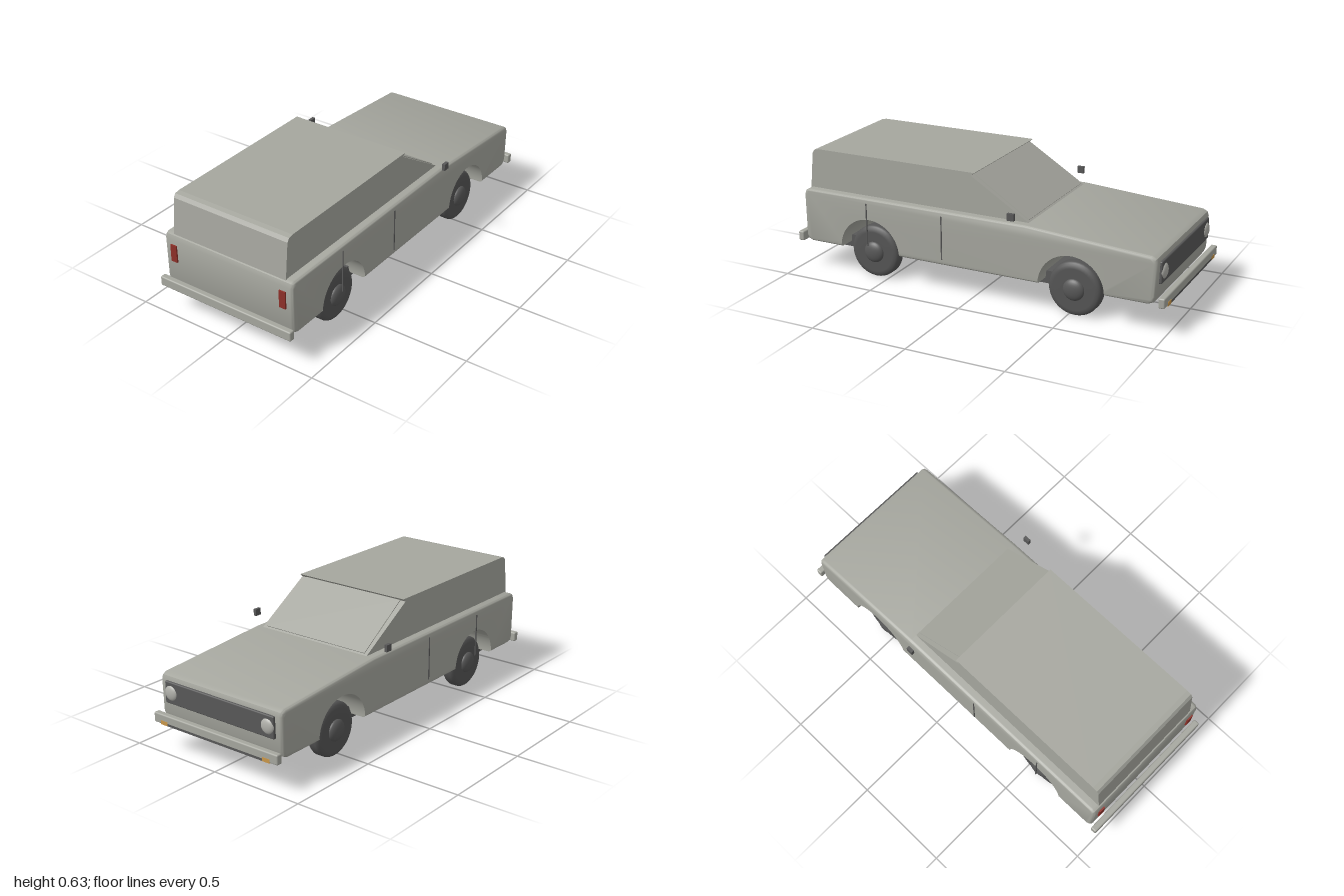
import * as THREE from 'three';
import { toCreasedNormals } from 'three/addons/utils/BufferGeometryUtils.js';
import { RoundedBoxGeometry } from 'three/addons/geometries/RoundedBoxGeometry.js';

const mat = (name, color) => {
  const m = new THREE.MeshStandardMaterial({ color });
  m.name = name;
  return m;
};

export function createModel() {
  const car = new THREE.Group();
  car.name = 'stationWagon';
  const paint = mat('greyPaint', 0xa5a69e);
  const dark = mat('darkGrey', 0x585858);
  const rubber = mat('tyreRubber', 0x555555);
  const lens = mat('headlightLens', 0xb0b0aa);
  const amber = mat('amber', 0xc8964a);
  const red = mat('tailRed', 0x8e3028);

  const add = (name, geo, material, x = 0, y = 0, z = 0, parent = car) => {
    const m = new THREE.Mesh(geo, material);
    m.name = name;
    m.position.set(x, y, z);
    parent.add(m);
    return m;
  };
  const box = (w, h, d) => new THREE.BoxGeometry(w, h, d);

  // Lower body: side profile with two wheel arches cut right across
  const archR = 0.17, sill = 0.15, axles = [-0.573, 0.53];
  const side = new THREE.Shape();
  side.moveTo(-0.925, sill);
  for (const x of axles) {
    side.lineTo(x - archR, sill);
    side.absarc(x, sill, archR, Math.PI, 0, true);
  }
  for (const [x, y] of [
    [0.915, sill], [0.94, 0.162], [0.95, 0.19], [0.955, 0.355], [0.948, 0.375], [0.925, 0.387],
    [0.29, 0.43], [-0.935, 0.43], [-0.952, 0.422], [-0.96, 0.4], [-0.957, 0.18], [-0.948, 0.16],
  ]) side.lineTo(x, y);
  const bevel = 0.018, depth = 0.75 - 2 * bevel;
  let body = new THREE.ExtrudeGeometry(side, {
    depth, bevelEnabled: true, bevelSize: bevel, bevelThickness: bevel,
    bevelOffset: -bevel, bevelSegments: 4, curveSegments: 28,
  });
  body.translate(0, 0, -depth / 2);
  // Keep the arch edges crisp by pulling their bevel back to the arch radius
  const p = body.attributes.position;
  for (let i = 0; i < p.count; i++) {
    for (const x of axles) {
      const dx = p.getX(i) - x, dy = p.getY(i) - sill, r = Math.hypot(dx, dy);
      if (r < archR + bevel + 0.008) p.setXY(i, x + dx * archR / r, sill + dy * archR / r);
    }
  }
  body = toCreasedNormals(body, 0.6);
  add('body', body, paint);

  // Cabin with sloping windscreen and a small roof lip
  const top = new THREE.Shape([
    [-0.946, 0.42], [0.306, 0.42], [-0.018, 0.62], [0, 0.635], [-0.89, 0.635], [-0.915, 0.63], [-0.927, 0.612],
  ].map(([x, y]) => new THREE.Vector2(x, y)));
  const cabin = new THREE.ExtrudeGeometry(top, { depth: 0.654, bevelEnabled: false });
  cabin.translate(0, 0, -0.327);
  add('cabin', cabin, paint);

  // Windscreen panel, slightly wider at its base
  const pane = new THREE.Shape([[-0.308, 0], [0.308, 0], [0.297, 0.35], [-0.297, 0.35]]
    .map(([x, y]) => new THREE.Vector2(x, y)));
  const screen = add('windscreen', new THREE.ExtrudeGeometry(pane, { depth: 0.004, bevelEnabled: false }),
    paint, 0.281, 0.436, 0);
  screen.rotation.order = 'YXZ';
  screen.rotation.set(-Math.atan2(0.324, 0.2), Math.PI / 2, 0);

  // Chassis, grille and bumpers
  add('chassis', box(1.67, 0.065, 0.56), dark, -0.005, 0.1525, 0);
  add('grille', new RoundedBoxGeometry(0.024, 0.11, 0.674, 2, 0.006), dark, 0.954, 0.3, 0);
  for (const s of [1, -1]) {
    add(s > 0 ? 'frontBumper' : 'rearBumper', new RoundedBoxGeometry(0.032, 0.05, 0.77, 2, 0.007),
      paint, s * 0.984, 0.171, 0);
  }
  add('bumperStrip', box(0.004, 0.012, 0.594), dark, 0.9985, 0.151, 0);

  // Tyre and hub profiles, turned about the axle
  const tyreProfile = [[0.04, -0.036], [0.105, -0.038], [0.122, -0.034], [0.131, -0.027], [0.136, -0.018],
    [0.136, 0.018], [0.131, 0.027], [0.122, 0.034], [0.105, 0.038], [0, 0.036]]
    .map(([r, y]) => new THREE.Vector2(r, y));
  tyreProfile.unshift(new THREE.Vector2(0, -0.036));
  const tyreGeo = new THREE.LatheGeometry(tyreProfile, 40);
  const hubGeo = new THREE.SphereGeometry(0.055, 28, 8, 0, Math.PI * 2, 0, Math.PI / 2);
  hubGeo.scale(1, 0.45, 1);

  for (const s of [1, -1]) {
    const label = s > 0 ? 'left' : 'right';
    axles.forEach((x, i) => {
      const wheel = new THREE.Group();
      wheel.name = label + (i ? 'FrontWheel' : 'RearWheel');
      wheel.position.set(x, 0.136, s * 0.298);
      wheel.rotation.x = s * Math.PI / 2;
      add('tyre', tyreGeo, rubber, 0, 0, 0, wheel);
      add('hub', hubGeo, dark, 0, 0.036, 0, wheel);
      car.add(wheel);
    });

    // Lamps
    const lamp = add(label + 'Headlight', new THREE.SphereGeometry(0.038, 28, 16), lens, 0.962, 0.3, s * 0.299);
    lamp.scale.x = 0.42;
    add(label + 'Indicator', box(0.022, 0.02, 0.044), amber, 0.9905, 0.155, s * 0.318);
    add(label + 'TailLight', box(0.014, 0.09, 0.035), red, -0.96, 0.33, s * 0.318);

    // Mirror and door seams
    add(label + 'Mirror', box(0.035, 0.035, 0.016), dark, 0.238, 0.478, s * 0.413);
    for (const x of [-0.586, -0.158]) {
      add(label + 'DoorSeam', box(0.006, 0.225, 0.005), dark, x, 0.2925, s * 0.3755);
    }
  }
  return car;
}
